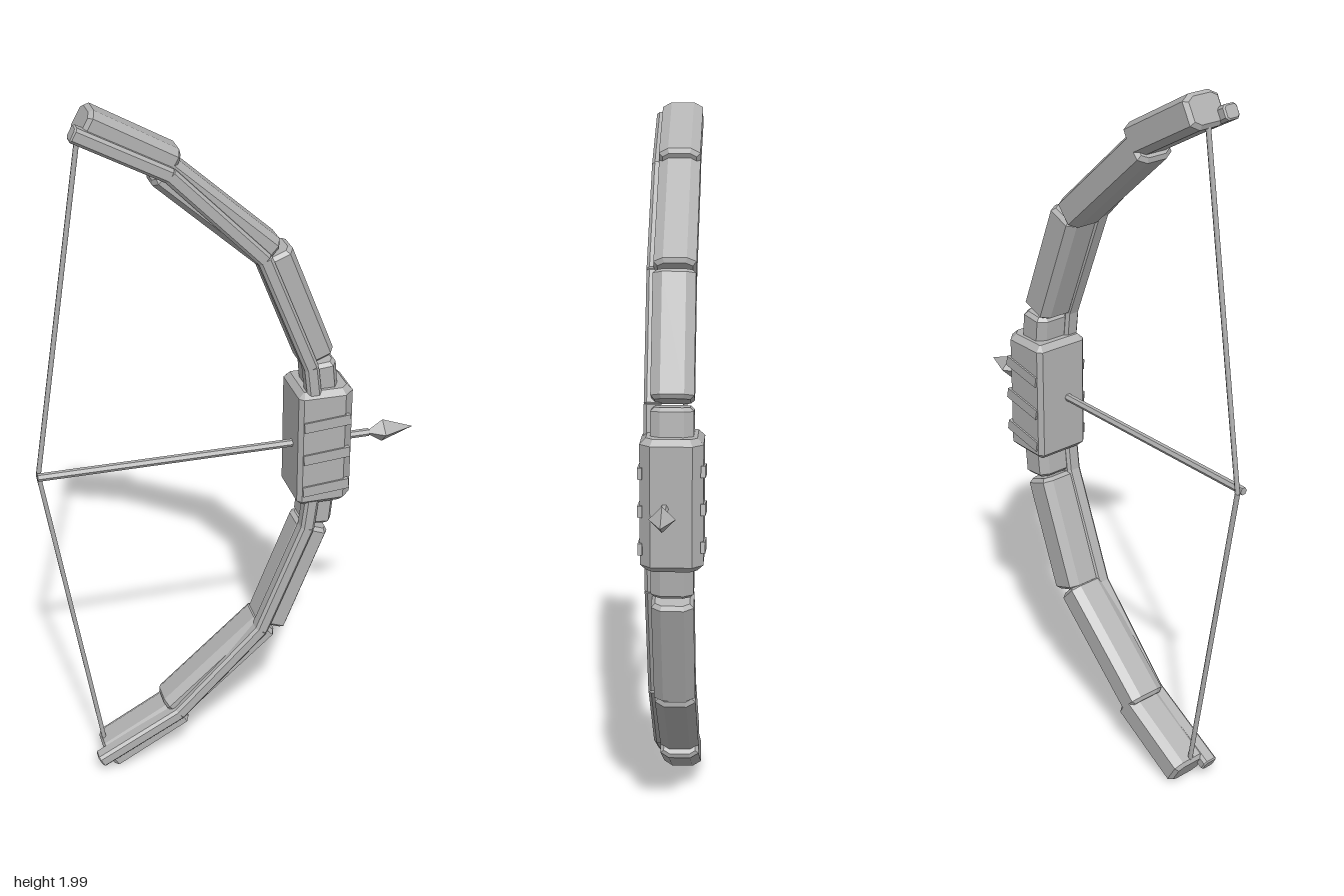
import * as THREE from 'three';

export function createModel() {
  const bow = new THREE.Group();
  bow.name = 'bowAndArrow';
  const grey = new THREE.MeshStandardMaterial({ color: 0xb2b2b2 });
  grey.name = 'grey';

  const add = (geometry, name, parent = bow) => {
    const mesh = new THREE.Mesh(geometry, grey);
    mesh.name = name;
    parent.add(mesh);
    return mesh;
  };

  // Chamfered bar: section is width (u) by depth (z), bevelled at both ends
  function barGeometry(width, depth, length, cu, cz, bevel, innerCu = cu, innerCz = cz) {
    const u = width / 2, d = depth / 2;
    const section = new THREE.Shape([
      [u, -d + cz], [u, d - cz], [u - cu, d], [-u + innerCu, d],
      [-u, d - innerCz], [-u, -d + innerCz], [-u + innerCu, -d], [u - cu, -d],
    ].map(([x, y]) => new THREE.Vector2(x, y)));
    const geometry = new THREE.ExtrudeGeometry(section, {
      depth: length - 2 * bevel, bevelEnabled: true, bevelSegments: 1,
      bevelSize: bevel, bevelThickness: bevel, bevelOffset: -bevel,
    });
    return geometry.translate(0, 0, bevel - length / 2);
  }

  // Place a bar between two points; outward is the side facing the target
  function place(mesh, a, b, z = 0) {
    const along = new THREE.Vector3(b[0] - a[0], b[1] - a[1], 0).normalize();
    const out = new THREE.Vector3(-along.y, along.x, 0);
    if (out.x < 0) out.negate();
    const side = new THREE.Vector3().crossVectors(along, out);
    mesh.quaternion.setFromRotationMatrix(new THREE.Matrix4().makeBasis(out, side, along));
    mesh.position.set((a[0] + b[0]) / 2, (a[1] + b[1]) / 2, z);
    return out;
  }
  const distance = (a, b) => Math.hypot(b[0] - a[0], b[1] - a[1]);

  // Limb blocks by their outer edge: start, end, width
  const blocks = [
    [[-0.35, 2.0], [-0.125, 1.875], 0.09],
    [[-0.15, 1.865], [0.135, 1.61], 0.09],
    [[0.16, 1.595], [0.285, 1.28], 0.098],
    [[0.29, 1.255], [0.305, 1.1], 0.088],
  ];
  // Rail running along the front of the limb
  const rail = [[-0.4, 1.95], [-0.165, 1.825], [0.08, 1.575], [0.212, 1.25], [0.23, 1.1]];
  const tie = [-0.378, 1.93], nock = [-0.525, 1.0];

  for (const [label, flip] of [['upper', false], ['lower', true]]) {
    const limb = new THREE.Group();
    limb.name = label + 'Limb';
    bow.add(limb);
    const m = ([x, y]) => [x, flip ? 2 - y : y];

    blocks.forEach(([p, q, width], i) => {
      const a = m(p), b = m(q);
      const block = add(barGeometry(width, 0.112, distance(a, b), 0.015, 0.025, 0.01),
        i === 3 ? 'neck' : 'limbBlock', limb);
      const out = place(block, a, b);
      block.position.addScaledVector(out, -width / 2);
    });

    for (let i = 0; i < rail.length - 1; i++) {
      const a = m(rail[i]), b = m(rail[i + 1]);
      place(add(barGeometry(0.04, 0.045, distance(a, b) + 0.008, 0.008, 0.008, 0.004), 'limbRail', limb), a, b, 0.053);
    }

    const a = m(tie);
    const string = add(new THREE.CylinderGeometry(0.007, 0.007, distance(a, nock), 6).rotateX(Math.PI / 2), 'bowString', limb);
    place(string, a, nock);
  }

  // Grip with deeper chamfers on the outer side
  const grip = new THREE.Group();
  grip.name = 'grip';
  bow.add(grip);
  place(add(barGeometry(0.158, 0.164, 0.35, 0.028, 0.028, 0.016, 0.012, 0.012), 'gripBlock', grip),
    [0.256, 0.83], [0.256, 1.18]);

  // Slanted wraps on both faces of the grip
  for (const side of [1, -1]) {
    for (const y of [1.085, 0.985, 0.885]) {
      const wrap = add(new THREE.BoxGeometry(0.132, 0.03, 0.012), 'gripWrap', grip);
      wrap.position.set(0.256, y, side * 0.081);
      wrap.rotation.z = side > 0 ? 0.08 : 0.18;
    }
  }

  // Arrow: hexagonal shaft and four-sided head
  const arrow = new THREE.Group();
  arrow.name = 'arrow';
  arrow.position.set(0, 1.003, 0.017);
  bow.add(arrow);
  const shaft = add(new THREE.CylinderGeometry(0.011, 0.011, 0.93, 6).toNonIndexed(), 'arrowShaft', arrow);
  shaft.geometry.computeVertexNormals();
  shaft.rotation.z = -Math.PI / 2;
  shaft.position.x = -0.065;
  const headProfile = [[0, 0.39], [0.034, 0.44], [0, 0.53]].map(([r, h]) => new THREE.Vector2(r, h));
  const headGeometry = new THREE.LatheGeometry(headProfile, 4).toNonIndexed();
  headGeometry.computeVertexNormals();
  add(headGeometry, 'arrowHead', arrow).rotation.z = -Math.PI / 2;

  return bow;
}
